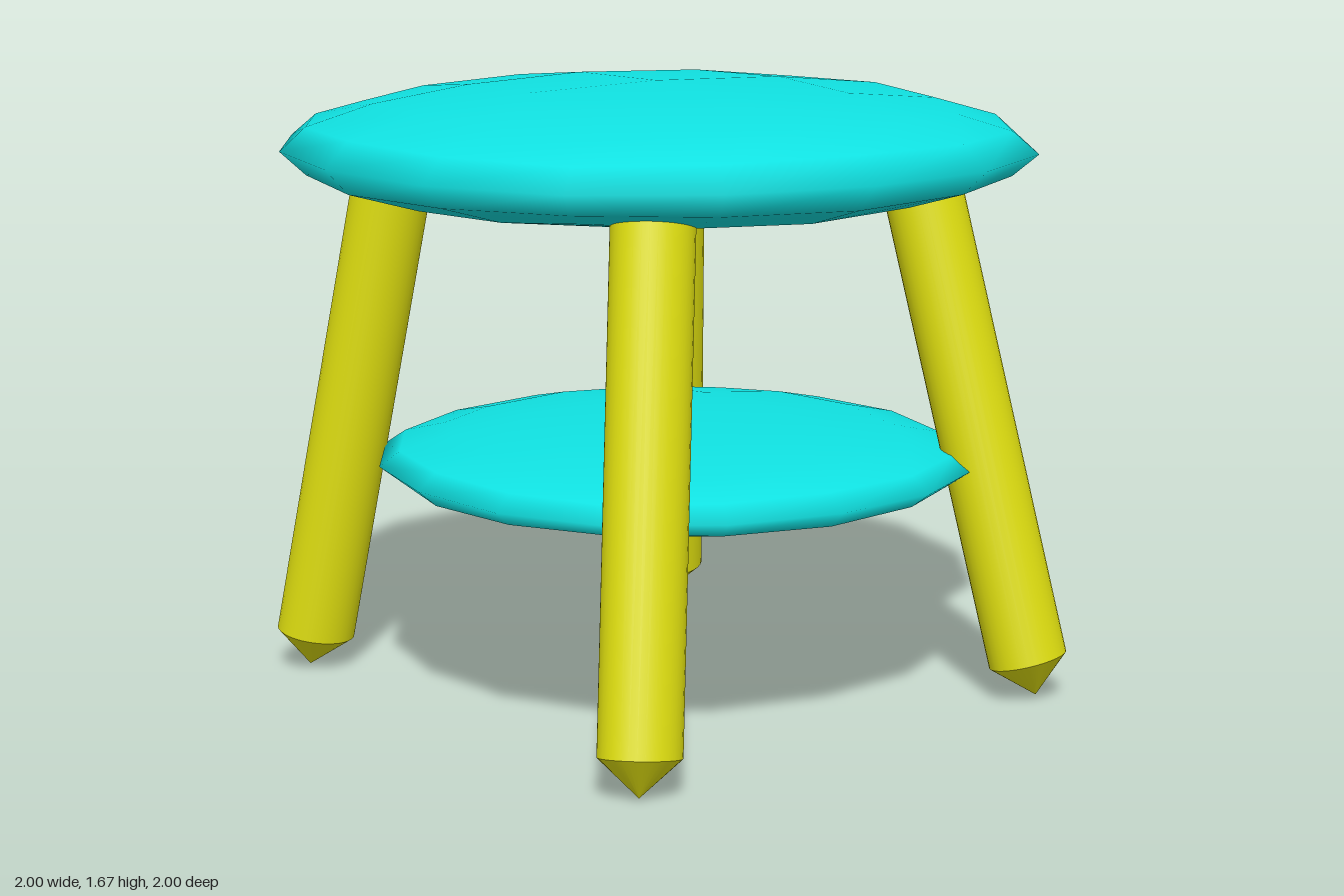
import * as THREE from 'three';
import { mergeVertices } from 'three/addons/utils/BufferGeometryUtils.js';

const teal = new THREE.MeshStandardMaterial({ color: 0x10e2e2 });
const yellow = new THREE.MeshStandardMaterial({ color: 0xe2e210 });

// Rounded-cube positions, keyed by the sorted absolute grid coordinates
const ROUNDED = {
  '002': [0, 0, 1], '012': [0, 0.399, 0.934], '022': [0, 0.732, 0.732],
  '112': [0.371, 0.371, 0.87], '122': [0.344, 0.682, 0.682], '222': [0.58, 0.58, 0.58],
};

// Flattened cushion: a 4x4x4 box grid relaxed into a ball, then squashed
function disc(name, radius, halfHeight, x, y, z) {
  let geo = new THREE.BoxGeometry(4, 4, 4, 4, 4, 4);
  const pos = geo.attributes.position;
  for (let i = 0; i < pos.count; i++) {
    const p = [pos.getX(i), pos.getY(i), pos.getZ(i)].map(Math.round);
    const sorted = p.map(Math.abs).sort();
    const values = ROUNDED[sorted.join('')];
    pos.setXYZ(i, ...p.map((c) => Math.sign(c) * values[sorted.indexOf(Math.abs(c))]));
  }
  geo.deleteAttribute('normal');
  geo.deleteAttribute('uv');
  geo = mergeVertices(geo);
  geo.scale(radius, halfHeight, radius);
  geo.computeVertexNormals();
  const mesh = new THREE.Mesh(geo, teal);
  mesh.name = name;
  mesh.position.set(x, y, z);
  return mesh;
}

// Splayed leg: slightly oval rod with a short conical foot
function leg(name, foot, top) {
  const a = new THREE.Vector3(...foot);
  const axis = new THREE.Vector3(...top).sub(a);
  const length = axis.length();
  const group = new THREE.Group();
  group.name = name;
  const rod = new THREE.Mesh(new THREE.CylinderGeometry(1, 1, length, 32), yellow);
  rod.name = 'rod';
  rod.position.y = length / 2;
  const tip = new THREE.Mesh(new THREE.ConeGeometry(1, 0.1, 32, 1, true).rotateX(Math.PI), yellow);
  tip.name = 'footTip';
  tip.position.y = -0.05;
  for (const part of [rod, tip]) {
    part.scale.set(0.111, 1, 0.1);
    group.add(part);
  }
  group.position.copy(a);
  group.quaternion.setFromUnitVectors(new THREE.Vector3(0, 1, 0), axis.normalize());
  return group;
}

export function createModel() {
  const model = new THREE.Group();
  model.name = 'stool';
  model.add(
    disc('seat', 1, 0.173, 0, 1.505, 0),
    disc('lowerShelf', 0.795, 0.112, 0.015, 0.65, 0.065),
    leg('frontLeftLeg', [0.75, 0.115, 0.71], [0.55, 1.45, 0.445]),
    leg('frontRightLeg', [-0.6, 0.11, 0.865], [-0.41, 1.45, 0.63]),
    leg('backLeftLeg', [0.515, 0.105, -0.75], [0.378, 1.45, -0.53]),
    leg('backRightLeg', [-0.74, 0.105, -0.63], [-0.58, 1.45, -0.41]),
  );
  return model;
}
